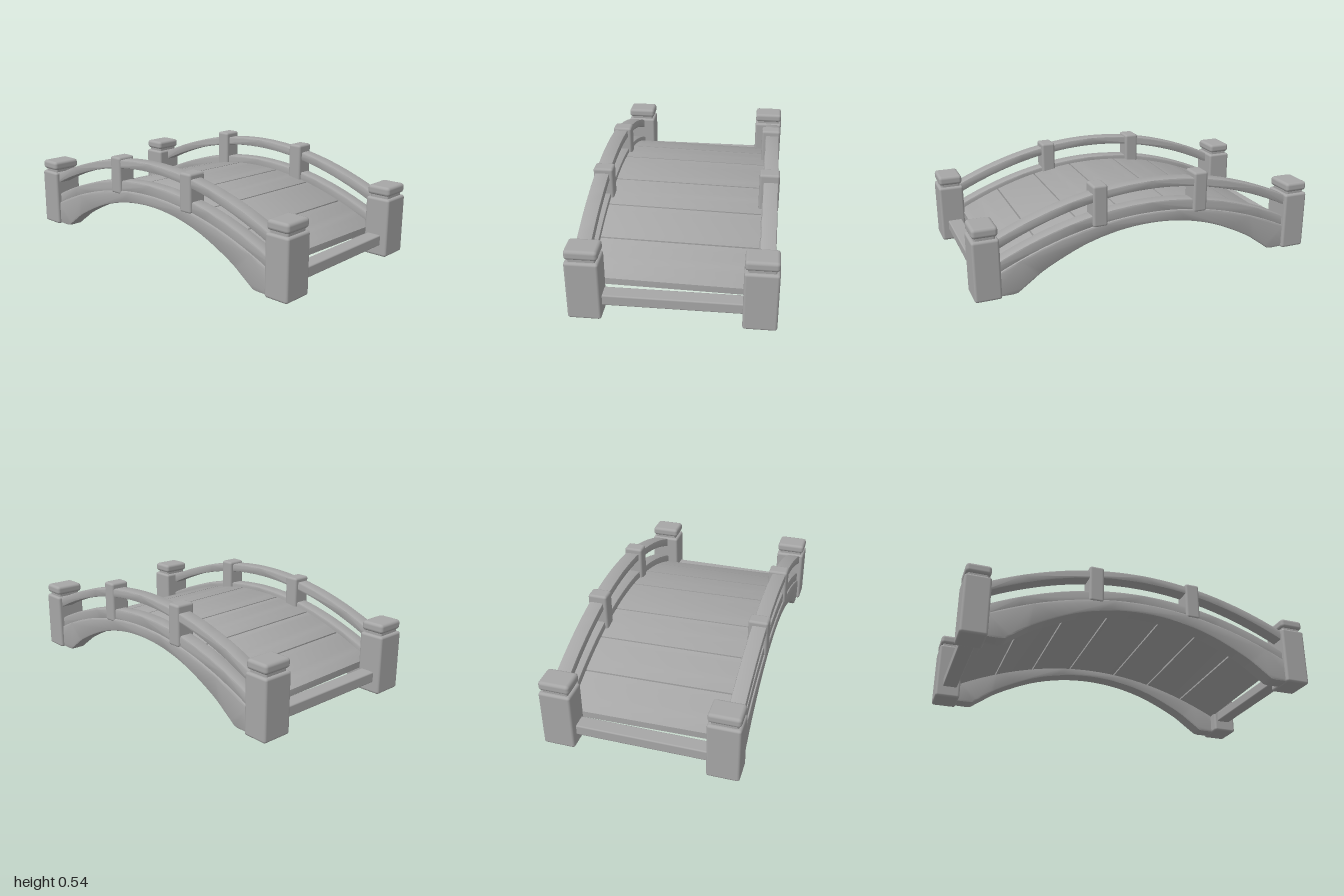
import * as THREE from 'three';
import { toCreasedNormals } from 'three/addons/utils/BufferGeometryUtils.js';
import { RoundedBoxGeometry } from 'three/addons/geometries/RoundedBoxGeometry.js';

const stone = new THREE.MeshStandardMaterial({ color: 0xa6a6a6 });
stone.name = 'grey';

// Points along the parabola y = crown - k * x^2
function arc(x0, x1, crown, k, n = 24) {
  const pts = [];
  for (let i = 0; i <= n; i++) {
    const x = x0 + ((x1 - x0) * i) / n;
    pts.push(new THREE.Vector2(x, crown - k * x * x));
  }
  return pts;
}

// Extrude a side outline between two z values, with softened edges
function slab(name, outline, z0, z1, bevel) {
  const geo = new THREE.ExtrudeGeometry(new THREE.Shape(outline), {
    depth: z1 - z0 - 2 * bevel,
    bevelThickness: bevel,
    bevelSize: bevel,
    bevelOffset: -bevel,
    bevelSegments: 2,
  });
  geo.translate(0, 0, z0 + bevel);
  const mesh = new THREE.Mesh(toCreasedNormals(geo, 0.6), stone);
  mesh.name = name;
  return mesh;
}

// Bent bar between a lower and an upper parabola
function bentBar(name, x0, x1, low, high, z0, z1, bevel, n) {
  const outline = [...arc(x0, x1, ...low, n), ...arc(x0, x1, ...high, n).reverse()];
  return slab(name, outline, z0, z1, bevel);
}

// Rounded block given by its limits
function block(name, x0, x1, y0, y1, z0, z1, radius) {
  const mesh = new THREE.Mesh(new RoundedBoxGeometry(x1 - x0, y1 - y0, z1 - z0, 2, radius), stone);
  mesh.position.set((x0 + x1) / 2, (y0 + y1) / 2, (z0 + z1) / 2);
  mesh.name = name;
  return mesh;
}

// Load-bearing arch with a flat foot at each end
function sideArch(z0, z1) {
  const under = new THREE.SplineCurve(
    [[-0.765, 0.008], [-0.7, 0.055], [-0.6, 0.122], [-0.4, 0.215], [-0.2, 0.268], [0, 0.285],
      [0.2, 0.268], [0.4, 0.215], [0.6, 0.122], [0.7, 0.055], [0.765, 0.008]]
      .map(([x, y]) => new THREE.Vector2(x, y))
  ).getPoints(40);
  const outline = [
    new THREE.Vector2(-0.92, 0.005), new THREE.Vector2(-0.79, 0.003),
    ...under,
    new THREE.Vector2(0.79, 0.003), new THREE.Vector2(0.92, 0.005),
    ...arc(-0.92, 0.92, 0.348, 0.28, 32).reverse(),
  ];
  return slab('sideArch', outline, z0, z1, 0.01);
}

export function createModel() {
  const bridge = new THREE.Group();
  bridge.name = 'archedBridge';

  // Deck planks, tilted very slightly across the bridge
  const deck = new THREE.Group();
  deck.name = 'deck';
  const seams = [-0.87, -0.64, -0.405, -0.155, 0.15, 0.39, 0.63, 0.865];
  for (let i = 0; i < seams.length - 1; i++) {
    deck.add(bentBar('plank', seams[i] + 0.004, seams[i + 1] - 0.004,
      [0.336, 0.29], [0.373, 0.29], -0.46, 0.46, 0.005, 6));
  }
  deck.rotation.x = -0.02;
  bridge.add(deck);

  // Sill beams joining the end posts
  for (const s of [-1, 1]) {
    const sill = block('endSill', -0.042, 0.042, 0.064, 0.125, -0.42, 0.42, 0.008);
    sill.position.x = s * 0.918;
    bridge.add(sill);
  }

  // Both sides: arch, kerb, handrail and posts
  for (const s of [-1, 1]) {
    const side = new THREE.Group();
    side.name = s > 0 ? 'frontSide' : 'backSide';
    const span = (a, b) => (s > 0 ? [a, b] : [-b, -a]);

    side.add(sideArch(...span(0.422, 0.518)));
    side.add(bentBar('kerb', -0.92, 0.92, [0.335, 0.28], [0.406, 0.28], ...span(0.428, 0.508), 0.008, 32));
    side.add(bentBar('handrail', -0.92, 0.92, [0.482, 0.285], [0.53, 0.27], ...span(0.432, 0.514), 0.008, 32));

    // Intermediate posts clasping the kerb and handrail
    const lift = s > 0 ? 0 : 0.015;
    for (const x of s > 0 ? [-0.283, 0.292] : [-0.295, 0.303]) {
      side.add(block('railPost', x - 0.042, x + 0.042, 0.31, 0.528 + lift, ...span(0.41, 0.522), 0.014));
    }

    // End posts with a recessed neck and a cushion cap
    for (const e of [-1, 1]) {
      const x = e * 0.928;
      side.add(block('endPost', x - 0.072, x + 0.072, 0, 0.336, ...span(0.36, 0.537), 0.014));
      side.add(block('postNeck', x - 0.055, x + 0.055, 0.3, 0.38, ...span(0.377, 0.52), 0.01));
      side.add(block('postCap', x - 0.068, x + 0.068, 0.35, 0.404, ...span(0.362, 0.535), 0.018));
    }
    bridge.add(side);
  }
  return bridge;
}
